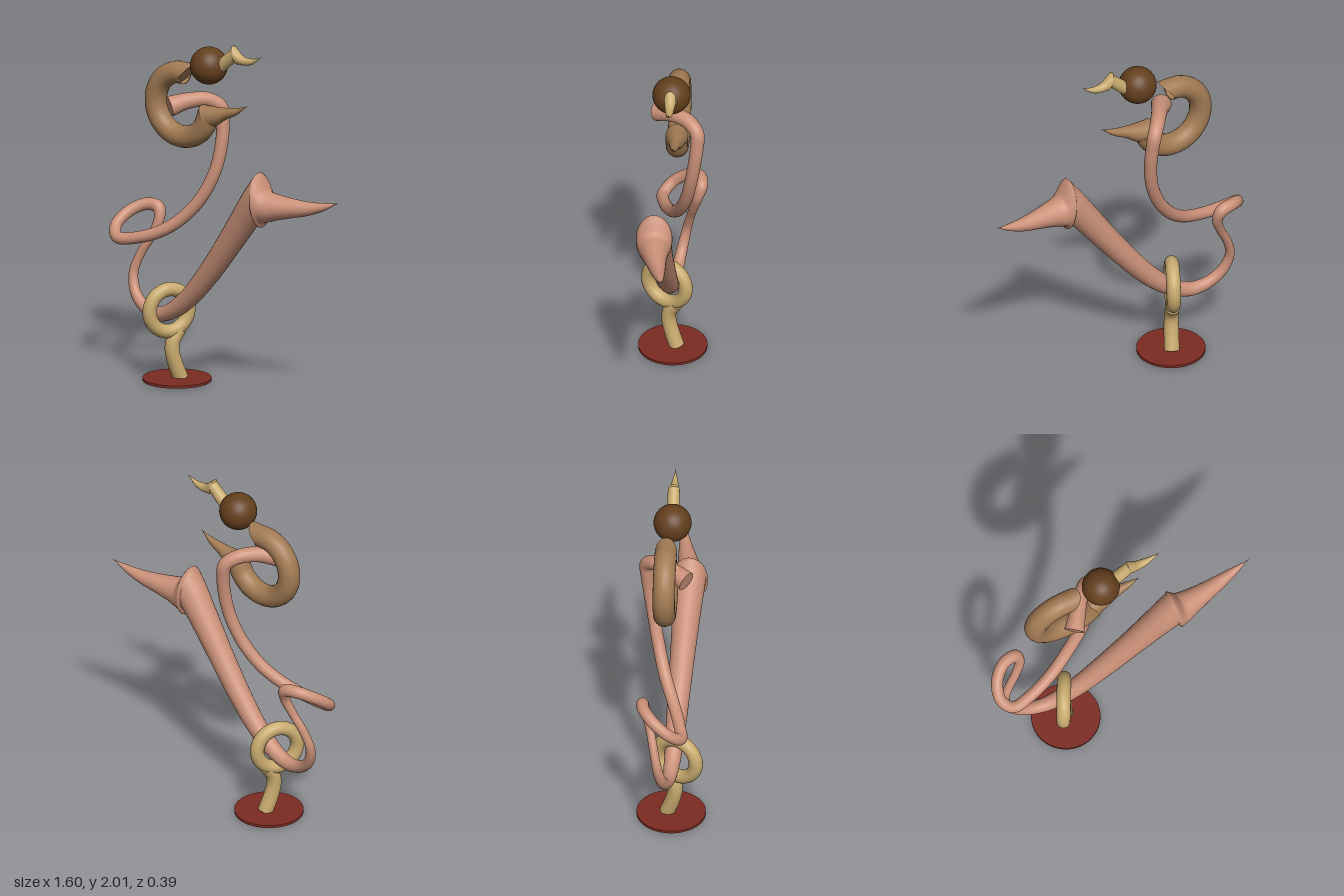
import * as THREE from 'three';

const SIDES = 24;
const material = (color) => new THREE.MeshStandardMaterial({ color, side: THREE.DoubleSide });
const V = (x, y, z) => new THREE.Vector3(x, y, z);

// Sweeps a circle of varying radius along [x, y, z, radius] points. An optional horn
// continues from a mitred corner whose plane has the normal `mitre`.
function sweep(name, color, points, { steps = 80, startCut, mitre, horn } = {}) {
  const pos = [], index = [];
  let side = null, lastT = null;

  // One ring, slid along the tangent onto the plane with normal n
  const ring = (c, t, r, n) => {
    if (!side) {
      side = V(0, 0, 1);
      if (Math.abs(t.z) > 0.8) side.set(0, 1, 0);
    } else {
      side.applyQuaternion(new THREE.Quaternion().setFromUnitVectors(lastT, t));
    }
    side.addScaledVector(t, -side.dot(t)).normalize();
    lastT = t.clone();
    const up = t.clone().cross(side);
    for (let j = 0; j < SIDES; j++) {
      const a = (j / SIDES) * Math.PI * 2;
      const p = side.clone().multiplyScalar(Math.cos(a) * r).addScaledVector(up, Math.sin(a) * r);
      if (n) p.addScaledVector(t, -p.dot(n) / t.dot(n));
      p.add(c);
      pos.push(p.x, p.y, p.z);
    }
  };
  const skin = (a, b) => {
    for (let j = 0; j < SIDES; j++) {
      const k = (j + 1) % SIDES;
      index.push(a + j, a + k, b + j, a + k, b + k, b + j);
    }
  };
  const copyRing = (start) => {
    const at = pos.length / 3;
    pos.push(...pos.slice(start * 3, (start + SIDES) * 3));
    return at;
  };
  const cap = (start, c, flip) => {
    const at = copyRing(start);
    pos.push(c.x, c.y, c.z);
    for (let j = 0; j < SIDES; j++) {
      const k = (j + 1) % SIDES;
      index.push(at + SIDES, at + (flip ? k : j), at + (flip ? j : k));
    }
  };
  const curves = (pts) => [
    new THREE.CatmullRomCurve3(pts.map((p) => V(p[0], p[1], p[2]))),
    new THREE.SplineCurve(pts.map((p, i) => new THREE.Vector2(i, p[3]))),
  ];

  const [path, radius] = curves(points);
  for (let i = 0; i <= steps; i++) {
    const u = i / steps;
    const cut = i === 0 ? startCut : i === steps ? mitre : null;
    ring(path.getPoint(u), path.getTangent(u), radius.getPoint(u).y, cut);
    if (i) skin((i - 1) * SIDES, i * SIDES);
  }
  const end = steps * SIDES;

  if (horn) {
    // Ring planes turn gradually from the mitre to square across the horn
    const [hornPath, hornRadius] = curves([[...points.at(-1).slice(0, 3), horn[0][3]], ...horn.slice(1)]);
    let prev = copyRing(end);
    const hornSteps = 28;
    for (let i = 1; i <= hornSteps; i++) {
      const u = i / hornSteps;
      const t = hornPath.getTangent(u);
      const n = mitre.clone().lerp(t, THREE.MathUtils.smoothstep(u, 0, 0.5)).normalize();
      const at = pos.length / 3;
      ring(hornPath.getPoint(u), t, Math.max(hornRadius.getPoint(u).y, 0.0005), n);
      skin(prev, at);
      prev = at;
    }
  } else {
    cap(end, path.getPoint(1), false);
  }
  cap(0, path.getPoint(0), true);

  const geometry = new THREE.BufferGeometry();
  geometry.setAttribute('position', new THREE.Float32BufferAttribute(pos, 3));
  geometry.setIndex(index);
  geometry.computeVertexNormals();
  const mesh = new THREE.Mesh(geometry, material(color));
  mesh.name = name;
  return mesh;
}

export function createModel() {
  const model = new THREE.Group();
  model.name = 'sculpture';
  const add = (name, geometry, color, x, y, z) => {
    const mesh = new THREE.Mesh(geometry, material(color));
    mesh.name = name;
    mesh.position.set(x, y, z);
    model.add(mesh);
    return mesh;
  };
  const SAND = 0xc8aa6e, PINK = 0xcb9179, TAN = 0xa37b54;

  // Round base
  add('base', new THREE.CylinderGeometry(0.195, 0.195, 0.015, 48), 0x7d2b22, -0.35, 0.0075, 0);

  // Curved post and the ring it carries
  model.add(sweep('post', SAND, [
    [-0.342, 0.01, -0.022, 0.044], [-0.358, 0.1, 0.008, 0.043], [-0.367, 0.18, 0.024, 0.042],
    [-0.364, 0.235, 0.016, 0.041], [-0.35, 0.29, -0.02, 0.04],
  ], { steps: 24 }));
  add('ring', new THREE.TorusGeometry(0.122, 0.04, 20, 56), SAND, -0.38, 0.408, 0.035).rotation.y = 1.1;

  // Long looping body, ending in a mitred corner and a horn
  model.add(sweep('body', PINK, [
    [-0.338, 1.612, 0.085, 0.058], [-0.275, 1.637, 0.0, 0.046], [-0.205, 1.636, -0.095, 0.042],
    [-0.153, 1.59, -0.148, 0.04], [-0.138, 1.5, -0.147, 0.038], [-0.135, 1.4, -0.135, 0.037],
    [-0.158, 1.24, -0.11, 0.036], [-0.225, 1.08, -0.077, 0.036], [-0.33, 0.945, -0.035, 0.036],
    [-0.45, 0.855, 0.015, 0.035], [-0.6, 0.8, 0.06, 0.034], [-0.715, 0.788, 0.075, 0.034],
    [-0.768, 0.838, 0.02, 0.033], [-0.745, 0.905, -0.07, 0.034], [-0.67, 0.945, -0.135, 0.035],
    [-0.595, 0.935, -0.148, 0.036], [-0.578, 0.87, -0.13, 0.03], [-0.612, 0.775, -0.105, 0.025],
    [-0.672, 0.665, -0.08, 0.025], [-0.703, 0.555, -0.058, 0.027], [-0.67, 0.45, -0.035, 0.031],
    [-0.585, 0.38, -0.015, 0.035], [-0.48, 0.363, 0.0, 0.041], [-0.37, 0.405, 0.01, 0.048],
    [-0.25, 0.5, 0.018, 0.056], [-0.1, 0.668, 0.03, 0.064], [0.05, 0.863, 0.045, 0.072],
    [0.18, 1.04, 0.058, 0.082], [0.283, 1.175, 0.068, 0.092],
  ], {
    steps: 320,
    mitre: V(1, 0.09, 0).normalize(),
    horn: [[0, 0, 0, 0.105], [0.33, 1.137, 0.068, 0.094], [0.4, 1.138, 0.06, 0.075],
      [0.5, 1.145, 0.045, 0.056], [0.6, 1.155, 0.029, 0.04], [0.7, 1.178, 0.014, 0.022],
      [0.797, 1.212, 0, 0]],
  }));

  // Curled C-shaped horn near the top
  const curl = Array.from({ length: 13 }, (_, i) => {
    const a = THREE.MathUtils.degToRad(80 + (269 * i) / 12);
    return [-0.338 + 0.187 * Math.cos(a), 1.6 + 0.187 * Math.sin(a), -0.032, 0.063];
  });
  model.add(sweep('curl', TAN, curl, {
    startCut: V(0.75, -0.66, 0).normalize(),
    mitre: V(0.78, 0.62, 0).normalize(),
    horn: [[0, 0, 0, 0.06], [-0.095, 1.575, -0.032, 0.05], [-0.035, 1.594, -0.031, 0.034],
      [0.045, 1.62, -0.029, 0.02], [0.125, 1.662, -0.026, 0]],
  }));

  // Ball head and its small bent horn
  add('head', new THREE.SphereGeometry(0.107, 40, 28), 0x643f1d, -0.128, 1.865, -0.005);
  model.add(sweep('headHorn', SAND, [
    [-0.05, 1.868, -0.008, 0.036], [0.0, 1.913, -0.008, 0.036], [0.052, 1.96, -0.008, 0.033],
  ], {
    steps: 12,
    mitre: V(0.95, 0.32, 0).normalize(),
    horn: [[0, 0, 0, 0.035], [0.1, 1.932, -0.008, 0.027], [0.165, 1.933, -0.008, 0.018],
      [0.242, 1.97, -0.008, 0]],
  }));

  return model;
}
